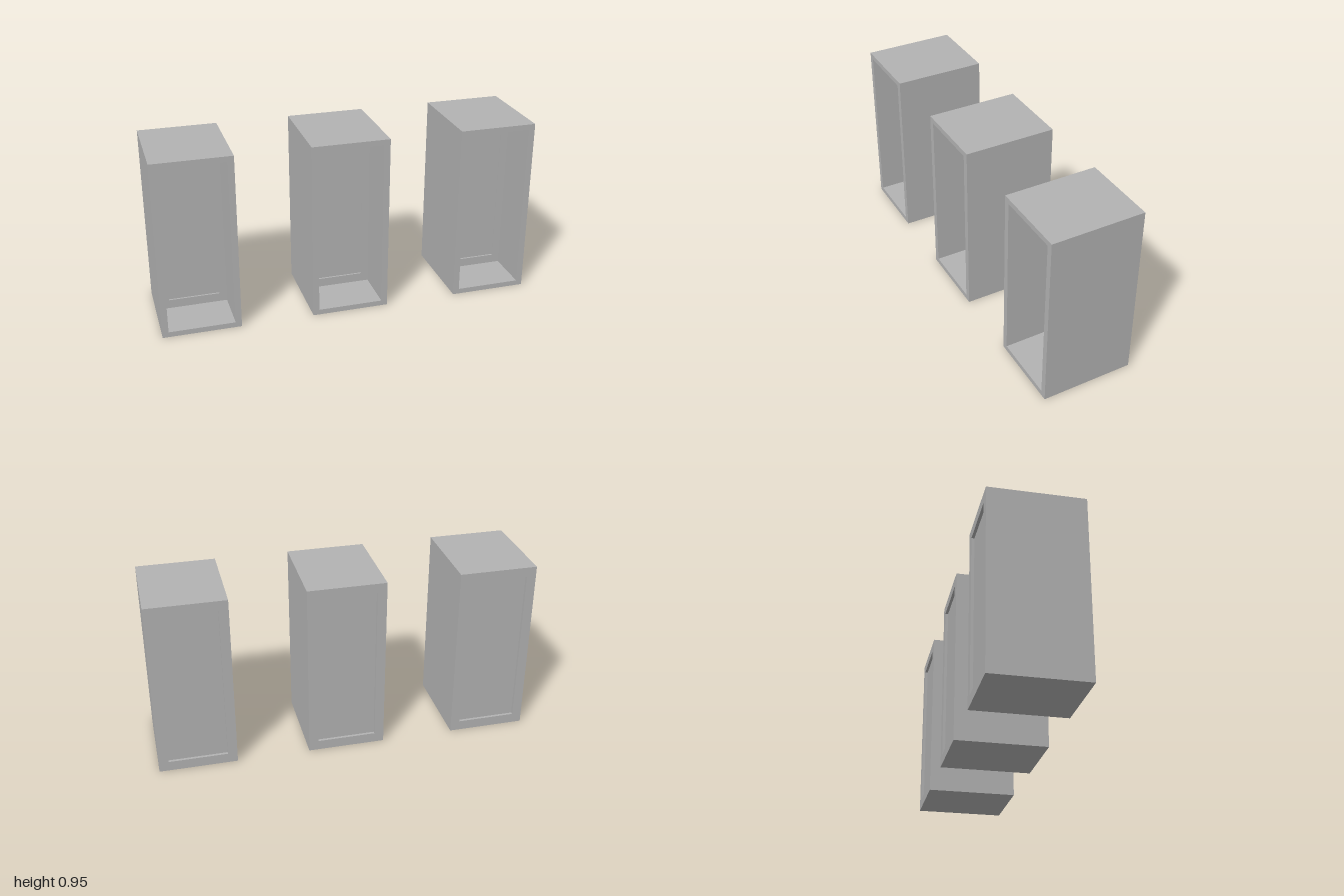
import * as THREE from 'three';

const WIDTH = 0.41, HEIGHT = 0.95, HALF_DEPTH = 0.243;

// Rectangular loops [inset x, inset y, z], running from the niche panel
// out over the front rim, along the sides and into the back panel.
const LOOPS = [
  [0.07, 0.075, -0.01],          // recessed panel inside the niche
  [0.07, 0.075, 0],
  [0.032, 0.028, 0],             // niche back wall
  [0.032, 0.028, HALF_DEPTH],    // niche walls
  [0, 0, HALF_DEPTH],            // front rim
  [0, 0, -HALF_DEPTH],           // outer sides
  [0.05, 0.053, -HALF_DEPTH],    // back border
  [0.05, 0.053, -HALF_DEPTH + 0.015], // recessed back panel
];

function cabinetGeometry() {
  const positions = [], index = [];
  for (const [ix, iy, z] of LOOPS) {
    const x = WIDTH / 2 - ix;
    positions.push(-x, iy, z, x, iy, z, x, HEIGHT - iy, z, -x, HEIGHT - iy, z);
  }
  // niche panel
  index.push(0, 1, 2, 0, 2, 3);
  // bands between neighbouring loops
  for (let i = 0; i < LOOPS.length - 1; i++) {
    for (let j = 0; j < 4; j++) {
      const a = i * 4 + j, b = i * 4 + (j + 1) % 4;
      const c = b + 4, d = a + 4;
      index.push(d, c, b, d, b, a);
    }
  }
  // back panel
  const k = (LOOPS.length - 1) * 4;
  index.push(k, k + 2, k + 1, k, k + 3, k + 2);

  const indexed = new THREE.BufferGeometry();
  indexed.setAttribute('position', new THREE.Float32BufferAttribute(positions, 3));
  indexed.setIndex(index);
  const geometry = indexed.toNonIndexed(); // hard edges
  geometry.computeVertexNormals();
  return geometry;
}

export function createModel() {
  const group = new THREE.Group();
  group.name = 'cabinets';
  const grey = new THREE.MeshStandardMaterial({ color: 0xb2b2b2 });
  grey.name = 'grey';

  // three identical open-fronted cabinets in a row
  const geometry = cabinetGeometry();
  const names = ['rightCabinet', 'middleCabinet', 'leftCabinet'];
  names.forEach((name, i) => {
    const cabinet = new THREE.Mesh(geometry, grey);
    cabinet.name = name;
    cabinet.position.x = (i - 1) * 0.795;
    group.add(cabinet);
  });
  return group;
}
